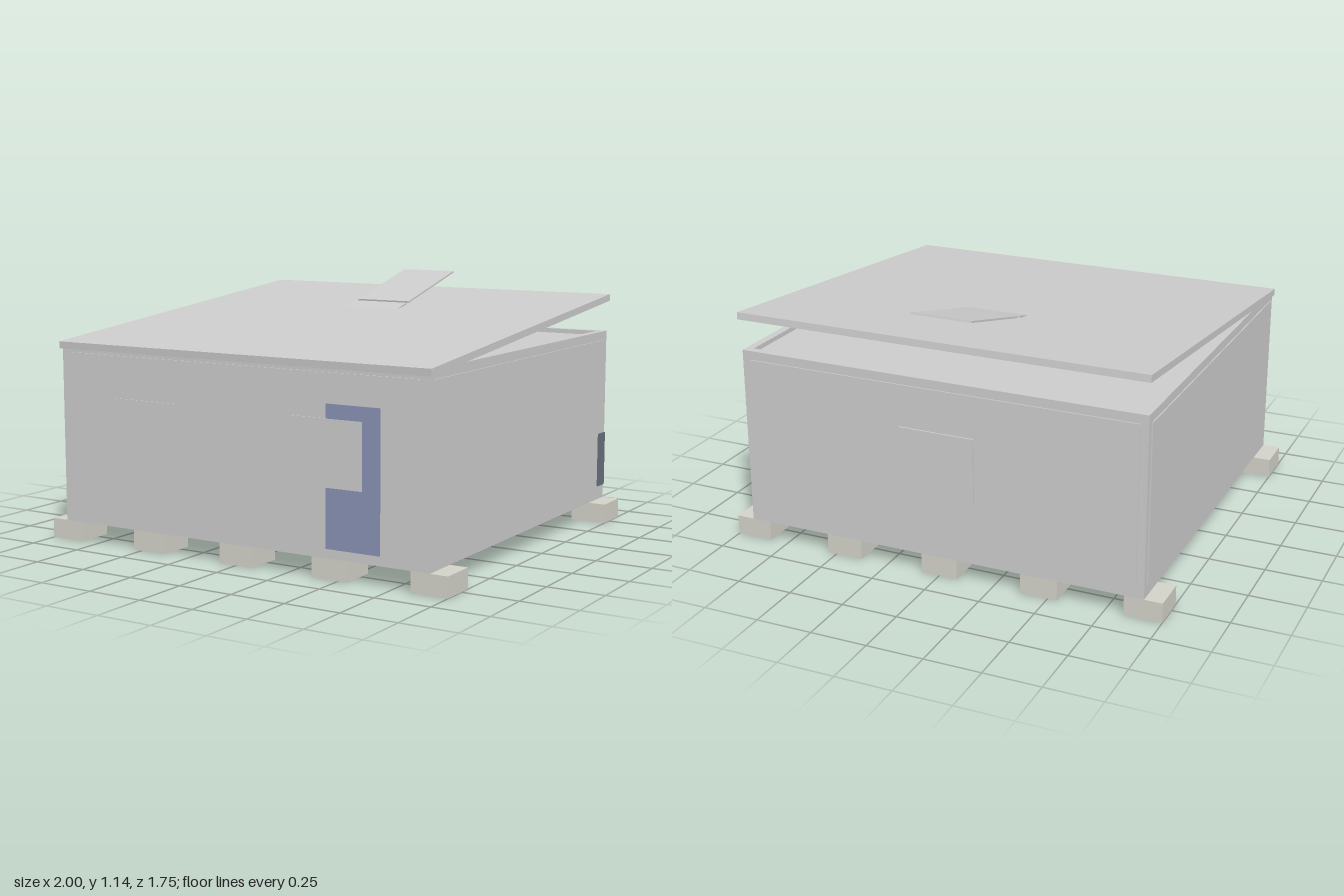
import * as THREE from 'three';

const mat = (color = 0xcccccc) => new THREE.MeshStandardMaterial({ color, flatShading: true });

export function createModel() {
  const model = new THREE.Group();
  const grey = mat();
  const concrete = mat(0xd2d2c8);
  const timber = mat(0xcfc6b2);
  const blue = mat(0x8891b5);
  const darkBlue = mat(0x68707d);

  const add = (name, geometry, material = grey) => {
    const mesh = new THREE.Mesh(geometry, material);
    mesh.name = name;
    model.add(mesh);
    return mesh;
  };
  // Box given by its limits on each axis
  const block = (name, x0, x1, y0, y1, z0, z1, material) => {
    const mesh = add(name, new THREE.BoxGeometry(x1 - x0, y1 - y0, z1 - z0), material);
    mesh.position.set((x0 + x1) / 2, (y0 + y1) / 2, (z0 + z1) / 2);
    return mesh;
  };
  // Tilted slab, from its front edge to its back edge in the side plane
  const slab = (name, x0, x1, front, back, thickness) => {
    const [z0, y0] = front, [z1, y1] = back;
    const length = Math.hypot(z1 - z0, y1 - y0);
    const mesh = add(name, new THREE.BoxGeometry(x1 - x0, thickness, length));
    mesh.position.set((x0 + x1) / 2, (y0 + y1) / 2, (z0 + z1) / 2);
    mesh.rotation.x = Math.atan2(y1 - y0, z0 - z1);
    return mesh;
  };
  const rectangle = (w, d, Type) => new Type([
    new THREE.Vector2(-w, -d), new THREE.Vector2(w, -d),
    new THREE.Vector2(w, d), new THREE.Vector2(-w, d),
  ]);

  // Foundation blocks, a row at the front and one at the back
  for (const x of [-0.917, -0.458, 0, 0.458, 0.917]) {
    block('frontFoundationBlock', x - 0.083, x + 0.083, 0, 0.088, 0.695, 0.863, concrete);
    block('backFoundationBlock', x - 0.083, x + 0.083, 0, 0.088, -0.863, -0.697, concrete);
  }

  // Hollow wall frame with a floor in three boards and a sunken ceiling
  const ring = rectangle(0.92, 0.863, THREE.Shape);
  ring.holes.push(rectangle(0.885, 0.828, THREE.Path));
  const walls = add('walls', new THREE.ExtrudeGeometry(ring, { depth: 0.797, bevelEnabled: false }));
  walls.rotation.x = -Math.PI / 2;
  walls.position.y = 0.088;
  for (let i = -1; i <= 1; i++) {
    block('floorBoard', i * 0.59 - 0.294, i * 0.59 + 0.294, 0.089, 0.11, -0.828, 0.828, timber);
  }
  block('ceiling', -0.885, 0.885, 0.84, 0.865, -0.828, 0.828);
  block('ceilingBracket', -0.1, 0.1, 0.865, 0.9, -0.113, -0.108);

  // Raised cladding panels on the four sides
  for (const s of [-1, 1]) {
    const side = block('sidePanel', -0.006, 0.006, 0.14, 0.845, -0.833, 0.833);
    side.position.x = s * 0.919;
    const end = block('endPanel', -0.885, 0.885, 0.14, 0.845, -0.006, 0.006);
    end.position.z = s * 0.862;
  }

  // Thin window panels, two at the front and one at the back
  for (const x of [-0.64, 0.28]) {
    block('frontWindow', x, x + 0.34, 0.38, 0.66, 0.866, 0.872);
  }
  block('backWindow', -0.17, 0.17, 0.38, 0.66, -0.875, -0.866);

  // Blue door leaf, cut out around the right-hand window
  const door = new THREE.Shape([
    [0.45, 0.13], [0.70, 0.13], [0.70, 0.72], [0.45, 0.72],
    [0.45, 0.66], [0.62, 0.66], [0.62, 0.38], [0.45, 0.38],
  ].map(([x, y]) => new THREE.Vector2(x, y)));
  add('door', new THREE.ExtrudeGeometry(door, { depth: 0.006, bevelEnabled: false }), blue)
    .position.z = 0.867;

  // Service box near the back corner
  block('serviceBox', 0.918, 0.932, 0.155, 0.405, -0.845, -0.775, darkBlue);

  // Sloping roof with a steeper two-part hatch
  slab('roof', -0.928, 0.928, [0.876, 0.875], [-0.876, 1.041], 0.031);
  slab('lowerHatch', -0.139, 0.136, [0.115, 0.896], [-0.335, 1.016], 0.008);
  slab('upperHatch', -0.139, 0.136, [-0.357, 1.021], [-0.805, 1.138], 0.008);

  return model;
}
